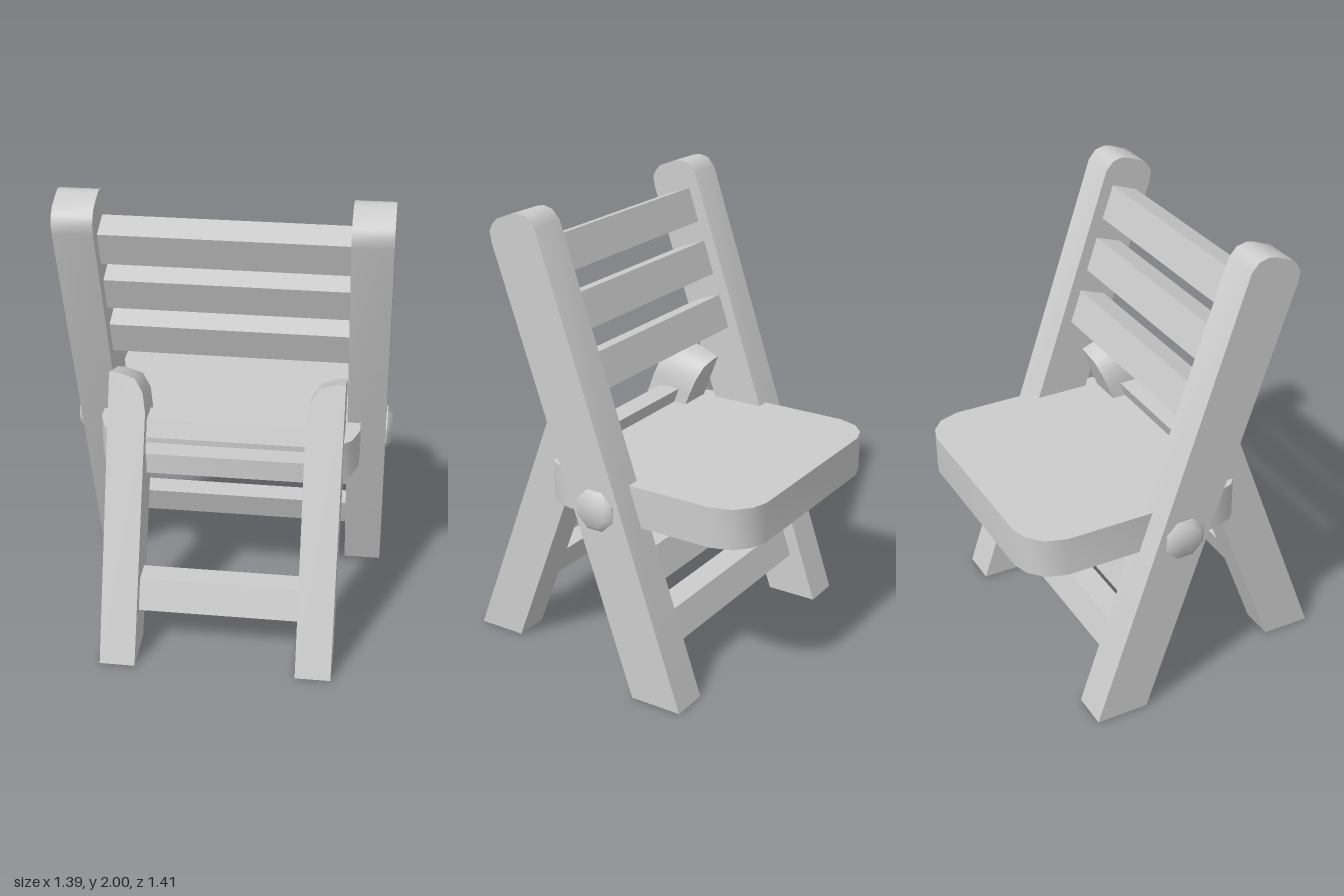
import * as THREE from 'three';
import { toCreasedNormals } from 'three/addons/utils/BufferGeometryUtils.js';

const RAIL_SLOPE = 0.3486; // z per y along the long rails
const LEG_SLOPE = -0.377;  // z per y along the short legs

const shapeOf = (pts) => new THREE.Shape(pts.map(([x, y]) => new THREE.Vector2(x, y)));
const extrude = (pts, depth) =>
  new THREE.ExtrudeGeometry(shapeOf(pts), { depth, bevelEnabled: false });

// Side profile given as (z, y), extruded between x0 and x1
function sideProfile(pts, x0, x1) {
  return extrude(pts, x1 - x0).rotateY(-Math.PI / 2).translate(x1, 0, 0);
}

// Removes the faces lying on the floor, leaving hollow feet
function openBottom(geo) {
  const p = geo.attributes.position;
  const keep = [];
  for (let i = 0; i < p.count; i += 3) {
    if (Math.max(p.getY(i), p.getY(i + 1), p.getY(i + 2)) < 0.001) continue;
    for (let k = i; k < i + 3; k++) keep.push(p.getX(k), p.getY(k), p.getZ(k));
  }
  const out = new THREE.BufferGeometry();
  out.setAttribute('position', new THREE.Float32BufferAttribute(keep, 3));
  return out;
}

export function createModel() {
  const model = new THREE.Group();
  model.name = 'foldingChair';
  const grey = new THREE.MeshStandardMaterial({ color: 0xcccccc, side: THREE.DoubleSide });
  grey.name = 'plain grey';

  const add = (name, geo) => {
    const mesh = new THREE.Mesh(toCreasedNormals(geo, 0.75), grey);
    mesh.name = name;
    model.add(mesh);
    return mesh;
  };

  // Long rails: legs that continue up as the backrest posts
  const railProfile = [
    [-0.465, 0], [-0.232, 0], [0.418, 1.862], [0.427, 1.91], [0.413, 1.94],
    [0.39, 1.965], [0.315, 1.993], [0.28, 2], [0.238, 1.99], [0.204, 1.952],
  ];

  // Short leg outline as (x, length along leg); inner top corner is rounded
  const legOutline = [
    [0.345, 0], [0.497, 0], [0.497, 1.265], [0.46, 1.264], [0.388, 1.243],
    [0.352, 1.185], [0.338, 1.1],
  ];
  const legDepth = 0.204;
  const cos = 0.936, sin = 0.353;

  for (const side of [1, -1]) {
    const label = side > 0 ? 'left' : 'right';
    const x = (a, b) => (side > 0 ? [a, b] : [-b, -a]);
    add(label + 'Rail', openBottom(sideProfile(railProfile, ...x(0.502, 0.667))));

    // Short leg: leaned extrusion with the foot cut level with the floor
    const pts = legOutline.map(([px, s]) => [px * side, s]);
    const leg = extrude(pts, legDepth);
    const p = leg.attributes.position;
    for (let i = 0; i < p.count; i++) {
      const s = p.getY(i), t = legDepth - p.getZ(i);
      if (s < 0.001) p.setXYZ(i, p.getX(i), 0, 0.707 - t / cos);
      else p.setXYZ(i, p.getX(i), s * cos - t * sin, 0.707 - s * sin - t * cos);
    }
    add(label + 'ShortLeg', openBottom(leg));

    // Pivot bolt with a chamfered eight-sided head
    const bolt = new THREE.LatheGeometry(
      [[0, 0.44], [0.093, 0.44], [0.093, 0.672], [0.066, 0.694], [0, 0.694]]
        .map(([r, h]) => new THREE.Vector2(r, h)), 8);
    bolt.rotateY(Math.PI / 8).rotateZ(-Math.PI / 2 * side).translate(0, 0.82, -0.06);
    add(label + 'PivotBolt', bolt);
  }

  // Seat board with rounded corners
  const corner = [[0.56, 0.165], [0.53, 0.075], [0.47, 0.022], [0.4, 0]];
  const front = corner.map(([cx, d]) => [cx, 0.318 - d]);
  const back = corner.map(([cx, d]) => [cx, -0.703 + d]);
  const half = [...back.reverse(), ...front];
  const outline = [...half, ...half.map(([cx, z]) => [-cx, z]).reverse()];
  add('seat', extrude(outline, 0.175).rotateX(Math.PI / 2).translate(0, 0.911, 0));

  // Backrest slats, square to the rails
  for (const y of [1.787, 1.555, 1.315]) {
    const slat = new THREE.BoxGeometry(1.01, 0.155, 0.122);
    slat.rotateX(Math.atan(RAIL_SLOPE)).translate(0, y, 0.267 + (y - 1.787) * RAIL_SLOPE);
    add('backSlat', slat);
  }

  // Crossbars: level top and bottom, sides sloped with the legs they join
  const crossbar = (name, halfWidth, y0, y1, z0, slope, depth) => {
    const c0 = z0 + slope * y0, c1 = z0 + slope * y1, d = depth / 2;
    add(name, sideProfile(
      [[c0 - d, y0], [c0 + d, y0], [c1 + d, y1], [c1 - d, y1]], -halfWidth, halfWidth));
  };
  crossbar('railCrossbar', 0.51, 0.46, 0.6, -0.35, RAIL_SLOPE, 0.11);
  crossbar('railCrossbar', 0.51, 0.2, 0.33, -0.35, RAIL_SLOPE, 0.11);
  crossbar('legCrossbar', 0.345, 0.2, 0.33, 0.602, LEG_SLOPE, 0.1);
  crossbar('legCrossbar', 0.345, 0.84, 0.98, 0.602, LEG_SLOPE, 0.1);

  return model;
}
